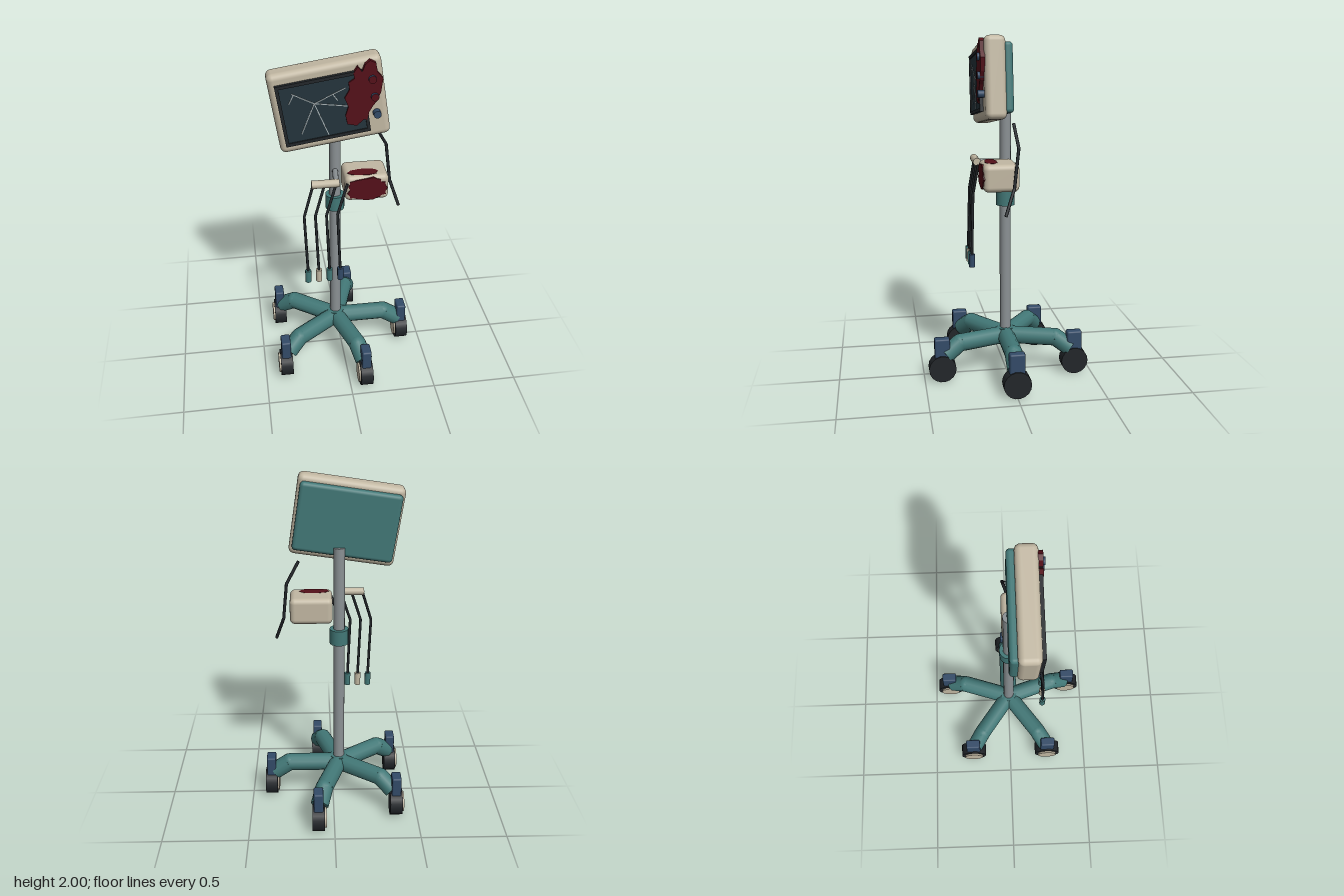
import * as THREE from 'three';
import { RoundedBoxGeometry } from 'three/addons/geometries/RoundedBoxGeometry.js';

const mat = (color, extra = {}) => new THREE.MeshStandardMaterial({ color, ...extra });
const BEIGE = mat(0xc2b8a3), TEAL = mat(0x427877), STEEL = mat(0x8b9194), NAVY = mat(0x334b68),
  BLACK = mat(0x22262a), GLASS = mat(0x24343c), STAIN = mat(0x541019), CRACK = mat(0xa9b3b6);
const PX = -0.035; // pole x
const V = (x, y, z) => new THREE.Vector3(x, y, z);

function add(parent, name, geo, material, x = 0, y = 0, z = 0) {
  const m = new THREE.Mesh(geo, material);
  m.name = name;
  m.position.set(x, y, z);
  parent.add(m);
  return m;
}

// straight round bar between two points
function bar(parent, name, a, b, r, material, sides = 12) {
  const m = add(parent, name, new THREE.CylinderGeometry(r, r, a.distanceTo(b), sides), material);
  m.position.copy(a).lerp(b, 0.5);
  m.quaternion.setFromUnitVectors(V(0, 1, 0), b.clone().sub(a).normalize());
  return m;
}

// bars in a chain with ball joints at the bends
function chain(parent, name, pts, r, material, sides = 8) {
  const g = new THREE.Group();
  g.name = name;
  for (let i = 1; i < pts.length; i++) {
    bar(g, name + 'Segment', pts[i - 1], pts[i], r, material, sides);
    if (i < pts.length - 1) add(g, name + 'Bend', new THREE.SphereGeometry(r, 12, 8), material, ...pts[i].toArray());
  }
  parent.add(g);
  return g;
}

function slab(points, depth) {
  const shape = new THREE.Shape(points.map(p => new THREE.Vector2(p[0], p[1])));
  return new THREE.ExtrudeGeometry(shape, { depth, bevelEnabled: false });
}

// ragged oval outline
function splat(rx, ry, n, seed) {
  return Array.from({ length: n }, (_, i) => {
    const a = i / n * Math.PI * 2, k = 0.92 + 0.1 * Math.sin(i * 2.3 + seed) * Math.cos(i * 1.1);
    const c = Math.cos(a), s = Math.sin(a);
    return [rx * k * Math.sign(c) * Math.abs(c) ** 0.75, ry * k * Math.sign(s) * Math.abs(s) ** 0.75];
  });
}

function buildBase(root) {
  const base = new THREE.Group();
  base.name = 'base';
  root.add(base);
  add(base, 'hub', new THREE.CylinderGeometry(0.052, 0.052, 0.1, 16), TEAL, PX, 0.213, 0);
  for (let i = 0; i < 5; i++) {
    const a = i / 5 * Math.PI * 2, c = Math.cos(a), s = Math.sin(a);
    const at = (r, y) => V(PX + r * c, y, r * s);
    chain(base, 'leg', [at(0, 0.213), at(0.305, 0.213), at(0.395, 0.152)], 0.053, TEAL, 12);
    // casters all point the same way
    const caster = new THREE.Group();
    caster.name = 'caster';
    caster.position.copy(at(0.417, 0));
    base.add(caster);
    add(caster, 'fork', new RoundedBoxGeometry(0.056, 0.125, 0.09, 2, 0.01), NAVY, 0, 0.2, 0);
    add(caster, 'wheel', new THREE.CylinderGeometry(0.08, 0.08, 0.073, 18), BLACK, 0, 0.08, 0).rotation.z = Math.PI / 2;
    add(caster, 'wheelCap', new THREE.CylinderGeometry(0.06, 0.06, 0.012, 18), BEIGE, -0.041, 0.08, 0).rotation.z = Math.PI / 2;
  }
}

function buildMonitor(root) {
  const g = new THREE.Group();
  g.name = 'monitor';
  g.position.set(-0.077, 1.736, 0);
  g.rotation.z = 0.148;
  root.add(g);
  add(g, 'housing', new RoundedBoxGeometry(0.598, 0.453, 0.118, 4, 0.032), BEIGE, 0, 0, 0.09);
  add(g, 'backCover', new RoundedBoxGeometry(0.568, 0.385, 0.055, 3, 0.022), TEAL, 0, 0, 0.018);
  // screen inside a raised frame
  const w = 0.228, h = 0.174, t = 0.018;
  const frame = new THREE.Shape([[-w, -h], [w, -h], [w, h], [-w, h]].map(p => new THREE.Vector2(...p)));
  frame.holes.push(new THREE.Path([[-w + t, -h + t], [-w + t, h - t], [w - t, h - t], [w - t, -h + t]].map(p => new THREE.Vector2(...p))));
  add(g, 'screenFrame', new THREE.ExtrudeGeometry(frame, { depth: 0.025, bevelEnabled: false }), BLACK, -0.038, -0.003, 0.143);
  add(g, 'screen', new THREE.BoxGeometry(0.43, 0.32, 0.018), GLASS, -0.038, -0.003, 0.152);
  // knobs, the upper two stained on top
  [-0.085, 0.015, 0.115].forEach((y, i) => {
    add(g, 'knob', new THREE.CylinderGeometry(0.021, 0.021, 0.04, 14), NAVY, 0.235, y, 0.165).rotation.x = Math.PI / 2;
    if (i) add(g, 'knobStain', new THREE.CircleGeometry(0.021, 14), STAIN, 0.235, y, 0.1855);
  });
  // cracks spreading from one point on the glass
  const cracks = [
    [-0.162, 1.762, -0.279, 1.822], [-0.162, 1.762, 0, 1.84], [-0.162, 1.762, 0.01, 1.738],
    [-0.162, 1.762, -0.087, 1.579], [-0.162, 1.762, -0.23, 1.592],
    [-0.268, 1.816, -0.294, 1.765], [-0.066, 1.81, -0.04, 1.772]];
  for (const [x1, y1, x2, y2] of cracks) {
    const m = add(root, 'screenCrack', new THREE.BoxGeometry(Math.hypot(x2 - x1, y2 - y1), 0.005, 0.003), CRACK,
      (x1 + x2) / 2, (y1 + y2) / 2, 0.162);
    m.rotation.z = Math.atan2(y2 - y1, x2 - x1);
  }
  // ragged stain over the right side
  add(root, 'monitorStain', slab([
    [0.125, 1.985], [0.155, 1.97], [0.165, 1.92], [0.195, 1.885], [0.185, 1.81], [0.165, 1.76], [0.145, 1.735],
    [0.125, 1.70], [0.115, 1.655], [0.1, 1.66], [0.06, 1.625], [0.01, 1.637], [0, 1.685], [0.015, 1.735],
    [-0.005, 1.785], [0.02, 1.83], [0.015, 1.87], [0.045, 1.89], [0.04, 1.92], [0.062, 1.955], [0.085, 1.925],
    [0.1, 1.965]], 0.026), STAIN, 0, 0, 0.145);
}

function buildSideBox(root) {
  const g = new THREE.Group();
  g.name = 'sideBox';
  g.position.set(0.125, 1.227, 0.062);
  root.add(g);
  add(g, 'boxBody', new RoundedBoxGeometry(0.245, 0.155, 0.2, 4, 0.03), BEIGE);
  add(g, 'boxFrontStain', slab(splat(0.115, 0.073, 28, 1), 0.018), STAIN, -0.002, -0.001, 0.085);
  const top = add(g, 'boxTopStain', slab(splat(0.09, 0.036, 18, 3), 0.006), STAIN, -0.015, 0.073, 0.045);
  top.rotation.x = -Math.PI / 2;
}

function buildCables(root) {
  // rail on an arm, with four hanging leads
  bar(root, 'railArm', V(PX, 1.28, 0), V(-0.05, 1.28, 0.165), 0.016, STEEL);
  bar(root, 'leadRail', V(-0.187, 1.28, 0.165), V(-0.033, 1.28, 0.165), 0.023, BEIGE);
  [TEAL, BEIGE, TEAL, NAVY].forEach((plug, i) => {
    const x = -0.22 + i * 0.0625;
    chain(root, 'lead', [V(-0.18 + i * 0.064, 1.268, 0.165), V(x - 0.013, 1.09, 0.188), V(x, 0.72, 0.2)], 0.008, BLACK);
    add(root, 'leadPlug', new THREE.CylinderGeometry(0.018, 0.018, 0.078, 10), plug, x, 0.69, 0.2);
  });
  // loose power cable
  chain(root, 'powerCable', [V(0.193, 1.525, -0.01), V(0.262, 1.398, -0.027), V(0.283, 1.18, 0), V(0.33, 1.035, 0.055)], 0.009, BLACK);
}

export function createModel() {
  const root = new THREE.Group();
  root.name = 'monitorStand';
  buildBase(root);
  bar(root, 'pole', V(PX, 0.2, 0), V(PX, 1.6, 0), 0.033, STEEL, 16);
  add(root, 'poleCollar', new THREE.CylinderGeometry(0.055, 0.055, 0.09, 16), TEAL, PX, 1.068, 0);
  buildMonitor(root);
  buildSideBox(root);
  buildCables(root);
  return root;
}
